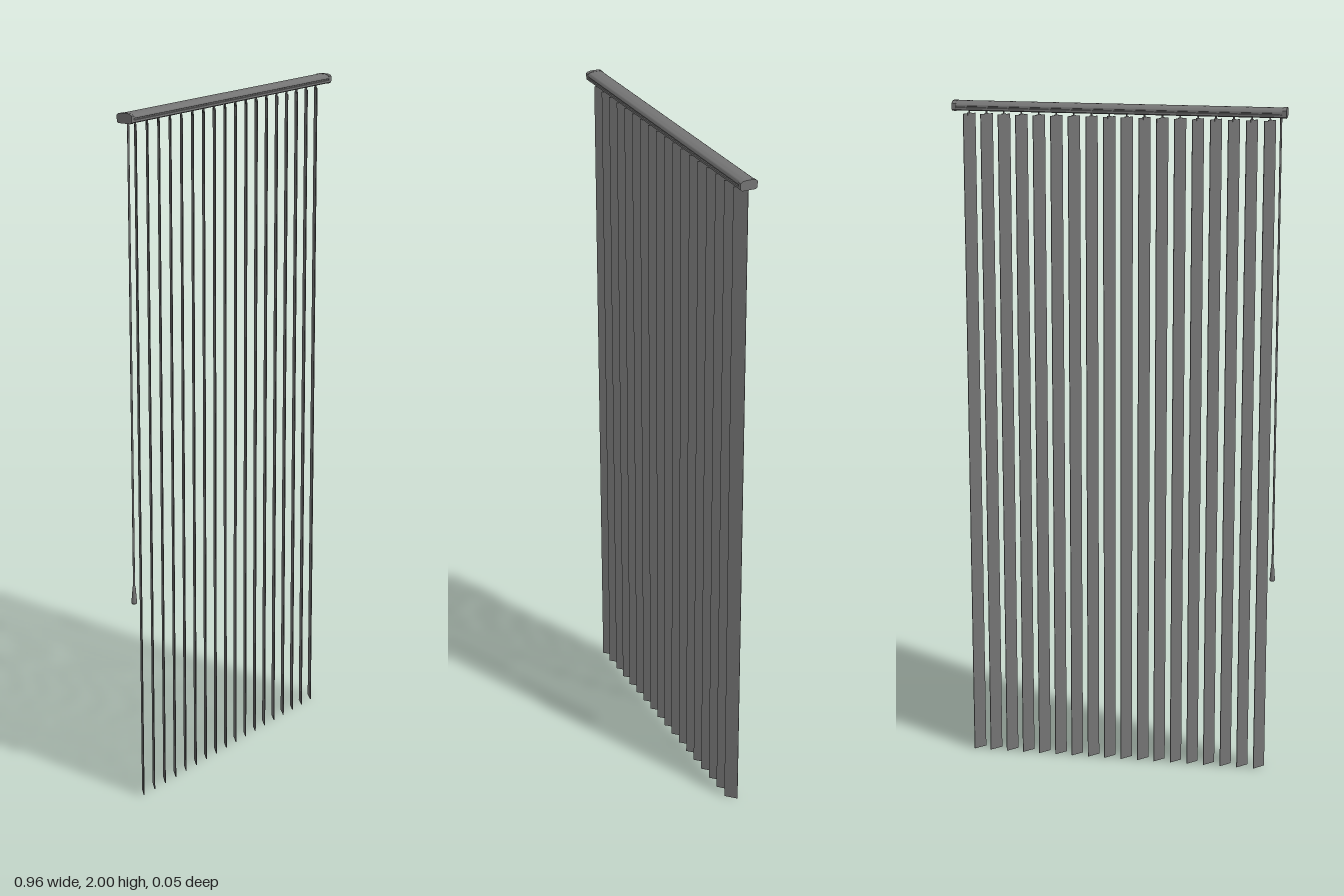
import * as THREE from 'three';
import { toCreasedNormals } from 'three/addons/utils/BufferGeometryUtils.js';

const grey = new THREE.MeshStandardMaterial({ color: 0x747474, side: THREE.DoubleSide });

function add(parent, name, geometry, x = 0, y = 0, z = 0) {
  const mesh = new THREE.Mesh(geometry, grey);
  mesh.name = name;
  mesh.position.set(x, y, z);
  parent.add(mesh);
  return mesh;
}

// Extrudes a closed (z, y) outline along x, centred on x = 0, with soft shallow edges
function extrudeAlongX(points, length) {
  const shape = new THREE.Shape(points.map(([z, y]) => new THREE.Vector2(-z, y)));
  const geometry = new THREE.ExtrudeGeometry(shape, { depth: length, bevelEnabled: false });
  geometry.translate(0, 0, -length / 2);
  geometry.rotateY(Math.PI / 2);
  return toCreasedNormals(geometry, Math.PI / 4);
}

// Mirrors half an outline so that it closes on the other side of z = 0
const mirrored = (half) => [...half, ...half.slice().reverse().map(([z, y]) => [-z, y])];

export function createModel() {
  const model = new THREE.Group();
  model.name = 'verticalBlind';

  // Head rail: channel with a rounded top, grooved sides and a slot below
  const railHalf = [
    [0.004, 1.9995], [0.012, 1.999], [0.018, 1.9975], [0.022, 1.995], [0.0245, 1.991],
    [0.0245, 1.987], [0.022, 1.986], [0.022, 1.983], [0.0245, 1.982],
    [0.0245, 1.976], [0.02, 1.973], [0.006, 1.973], [0.006, 1.976], [0.019, 1.977], [0.019, 1.992],
  ];
  add(model, 'headRail', extrudeAlongX(mirrored(railHalf), 0.94));

  // End caps closing the rail
  const capHalf = [[0.012, 2], [0.02, 1.998], [0.025, 1.994], [0.025, 1.976], [0.02, 1.972]];
  for (const side of [-1, 1]) {
    add(model, 'endCap', extrudeAlongX(mirrored(capHalf), 0.012), side * 0.474);
  }

  // Turned vanes, each hung from a carrier by a small stem
  const count = 18;
  const spacing = 0.051;
  const vaneGeometry = new THREE.BoxGeometry(0.041, 1.963, 0.0025);
  const stemGeometry = new THREE.CylinderGeometry(0.0025, 0.0025, 0.02, 16);
  const clipGeometry = new THREE.BoxGeometry(0.012, 0.008, 0.004);
  const carrierGeometry = new THREE.BoxGeometry(0.02, 0.008, 0.03);
  for (let i = 0; i < count; i++) {
    const vane = new THREE.Group();
    vane.name = 'vane';
    vane.position.x = 0.0015 + (i - (count - 1) / 2) * spacing;
    vane.rotation.y = Math.PI / 4;
    add(vane, 'slat', vaneGeometry, 0, 0.9815);
    add(vane, 'clip', clipGeometry, 0, 1.961);
    add(vane, 'stem', stemGeometry, 0, 1.973);
    add(model, 'carrier', carrierGeometry, vane.position.x, 1.983);
    model.add(vane);
  }

  // Pull cord with a bell-shaped weight
  const cordX = -0.463;
  add(model, 'pullCord', new THREE.CylinderGeometry(0.003, 0.003, 1.335, 24), cordX, 1.3125);
  const bell = [[0, 0], [0.007, 0], [0.008, 0.003], [0.0075, 0.012], [0.0055, 0.035],
    [0.0045, 0.05], [0.003, 0.054], [0, 0.055]].map(([r, y]) => new THREE.Vector2(r, y));
  add(model, 'cordWeight', new THREE.LatheGeometry(bell, 24), cordX, 0.6);

  return model;
}
